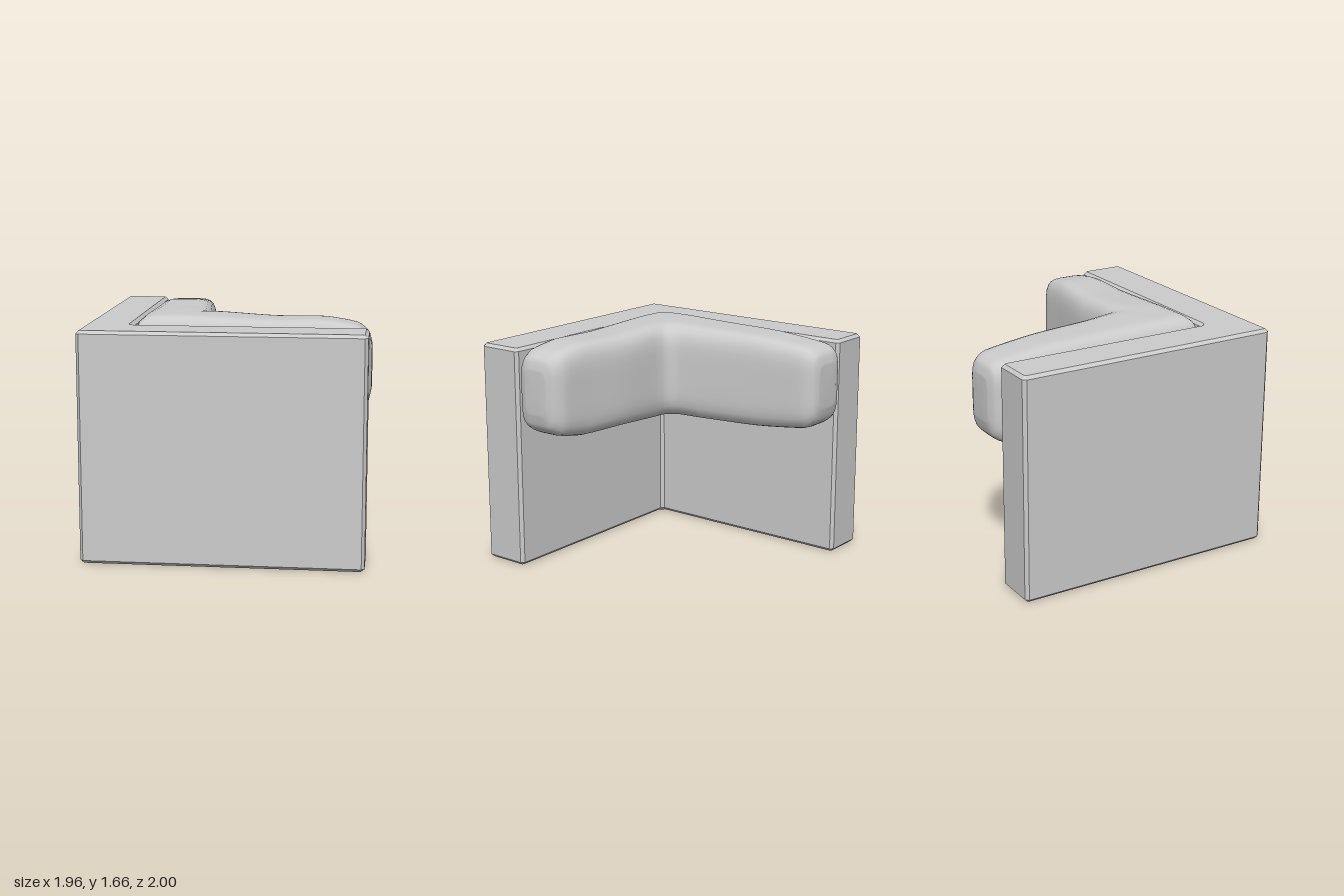
import * as THREE from 'three';

const material = () => new THREE.MeshStandardMaterial({ color: 0xcccccc });

// L-shaped panel frame with every edge chamfered by c
function frameGeometry() {
  const c = 0.022, height = 1.605;
  const corners = [[-0.98, 1], [0.96, 1], [0.96, 0.66], [-0.66, 0.66], [-0.66, -0.95], [-0.98, -0.95]]
    .map(([x, z]) => new THREE.Vector2(x, -z));
  const outline = [];
  corners.forEach((p, i) => {
    for (const q of [corners[(i + 5) % 6], corners[(i + 1) % 6]]) {
      outline.push(p.clone().add(q.clone().sub(p).setLength(c)));
    }
  });
  const geometry = new THREE.ExtrudeGeometry(new THREE.Shape(outline), {
    depth: height - 2 * c, bevelEnabled: true, bevelSegments: 1,
    bevelSize: c, bevelThickness: c, bevelOffset: -c,
  });
  geometry.rotateX(-Math.PI / 2);
  geometry.translate(0, c, 0);
  return geometry;
}

// Soft cushion: rounded-box sections swept round the corner.
// Each station: outer x, z, inner x, z, bottom y, top y
const stations = [
  [-0.56, -1.00, -0.36, -0.995, 1.17, 1.47],
  [-0.63, -0.97, -0.31, -0.97, 1.07, 1.55],
  [-0.66, -0.88, -0.27, -0.88, 1.01, 1.60],
  [-0.66, -0.50, -0.23, -0.50, 0.97, 1.64],
  [-0.66, -0.05, -0.175, -0.05, 0.96, 1.65],
  [-0.66, 0.35, -0.15, 0.10, 0.96, 1.66],
  [-0.655, 0.60, -0.12, 0.155, 0.955, 1.66],
  [-0.61, 0.655, -0.08, 0.18, 0.955, 1.66],
  [-0.30, 0.655, 0.00, 0.195, 0.955, 1.66],
  [0.30, 0.655, 0.30, 0.21, 0.97, 1.64],
  [0.65, 0.655, 0.65, 0.255, 0.97, 1.645],
  [0.87, 0.65, 0.87, 0.28, 1.01, 1.61],
  [0.95, 0.63, 0.95, 0.33, 1.07, 1.55],
  [0.975, 0.57, 0.975, 0.39, 1.17, 1.47],
];

function cushionGeometry() {
  const curve = (pick) => new THREE.CatmullRomCurve3(
    stations.map((s) => new THREE.Vector3(...pick(s))), false, 'catmullrom', 0.3);
  const outer = curve((s) => [s[0], s[4], s[1]]);
  const inner = curve((s) => [s[2], s[5], s[3]]);
  const rows = (stations.length - 1) * 4, sides = 48, power = 5;
  const positions = [], index = [];

  for (let j = 0; j <= rows; j++) {
    const o = outer.getPoint(j / rows), i = inner.getPoint(j / rows);
    const mid = o.clone().add(i).multiplyScalar(0.5);
    const half = i.clone().sub(o).multiplyScalar(0.5);
    for (let k = 0; k < sides; k++) {
      const a = (k / sides) * Math.PI * 2, c = Math.cos(a), s = Math.sin(a);
      const r = (Math.abs(c) ** power + Math.abs(s) ** power) ** (-1 / power);
      positions.push(mid.x + half.x * c * r, mid.y + half.y * s * r, mid.z + half.z * c * r);
    }
  }
  for (let j = 0; j < rows; j++) {
    for (let k = 0; k < sides; k++) {
      const n = (k + 1) % sides, a = j * sides, b = a + sides;
      index.push(a + k, a + n, b + k, a + n, b + n, b + k);
    }
  }
  // Close both ends
  for (const [row, flip] of [[0, true], [rows, false]]) {
    const o = outer.getPoint(row / rows), i = inner.getPoint(row / rows);
    const centre = positions.length / 3, base = row * sides;
    positions.push((o.x + i.x) / 2, (o.y + i.y) / 2, (o.z + i.z) / 2);
    for (let k = 0; k < sides; k++) {
      const p = base + k, q = base + ((k + 1) % sides);
      index.push(centre, flip ? q : p, flip ? p : q);
    }
  }
  const geometry = new THREE.BufferGeometry();
  geometry.setAttribute('position', new THREE.Float32BufferAttribute(positions, 3));
  geometry.setIndex(index);
  geometry.computeVertexNormals();
  return geometry;
}

export function createModel() {
  const group = new THREE.Group();
  group.name = 'cornerBackrest';
  const parts = { cornerFrame: frameGeometry(), cornerCushion: cushionGeometry() };
  for (const [name, geometry] of Object.entries(parts)) {
    const mesh = new THREE.Mesh(geometry, material());
    mesh.name = name;
    group.add(mesh);
  }
  return group;
}
